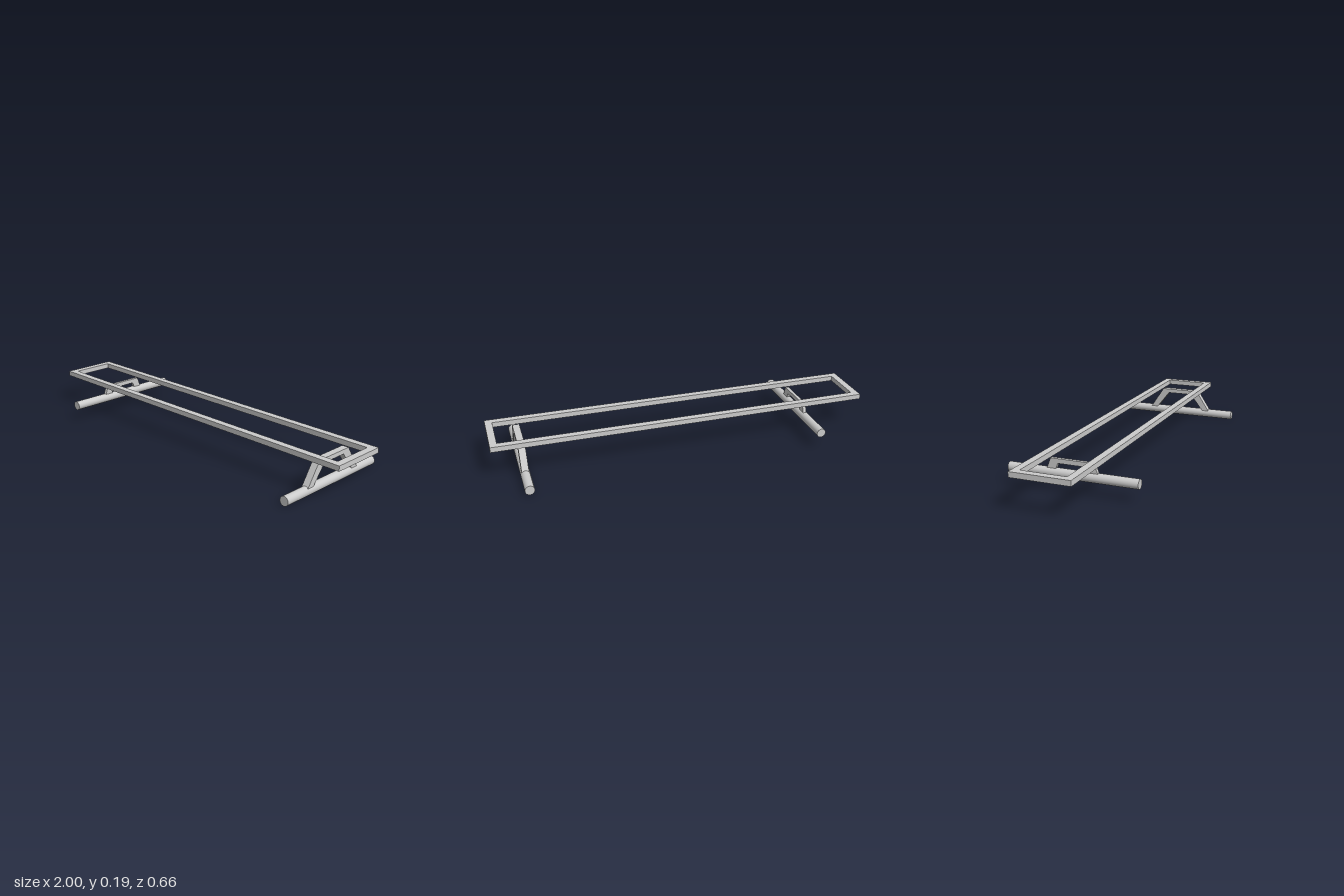
import * as THREE from 'three';

const material = new THREE.MeshStandardMaterial({ color: 0xcccccc });

function add(parent, name, geometry) {
  const mesh = new THREE.Mesh(geometry, material);
  mesh.name = name;
  parent.add(mesh);
  return mesh;
}

const rectangle = (path, x, z) => path
  .moveTo(-x, -z).lineTo(x, -z).lineTo(x, z).lineTo(-x, z).closePath();

// Round axle with a trapezoid bracket above it; half holds [z, y] corners for z > 0
function axleAssembly(name, x, y, radius, width, half) {
  const group = new THREE.Group();
  group.name = name;
  group.position.x = x;

  const rod = new THREE.CylinderGeometry(radius, radius, 0.664, 32).rotateX(Math.PI / 2);
  add(group, 'axle', rod).position.y = y;

  // Mirror the half outline, then extrude it along x
  const mirrored = half.map(([z, h]) => [-z, h]).reverse();
  const shape = new THREE.Shape([...half, ...mirrored].map(([z, h]) => new THREE.Vector2(z, h)));
  const bracket = new THREE.ExtrudeGeometry(shape, { depth: width, bevelEnabled: false });
  bracket.translate(0, 0, -width / 2).rotateY(-Math.PI / 2);
  add(group, 'axleBracket', bracket);
  return group;
}

export function createModel() {
  const model = new THREE.Group();
  model.name = 'chassis';

  // Rectangular frame of square bars
  const outline = rectangle(new THREE.Shape(), 1, 0.151);
  outline.holes.push(rectangle(new THREE.Path(), 0.963, 0.114));
  const frame = new THREE.ExtrudeGeometry(outline, { depth: 0.027, bevelEnabled: false });
  frame.rotateX(-Math.PI / 2).translate(0, 0.159, 0);
  add(model, 'frame', frame);

  // Tall, wide bracket at one end, short narrow one at the other
  model.add(axleAssembly('lowAxle', 0.846, 0.0243, 0.0243, 0.036,
    [[0.073, 0.136], [0.148, 0.04], [0.188, 0.04], [0.11, 0.159]]));
  model.add(axleAssembly('highAxle', -0.682, 0.0875, 0.0238, 0.018,
    [[0.073, 0.136], [0.088, 0.098], [0.134, 0.098], [0.11, 0.159]]));
  return model;
}
